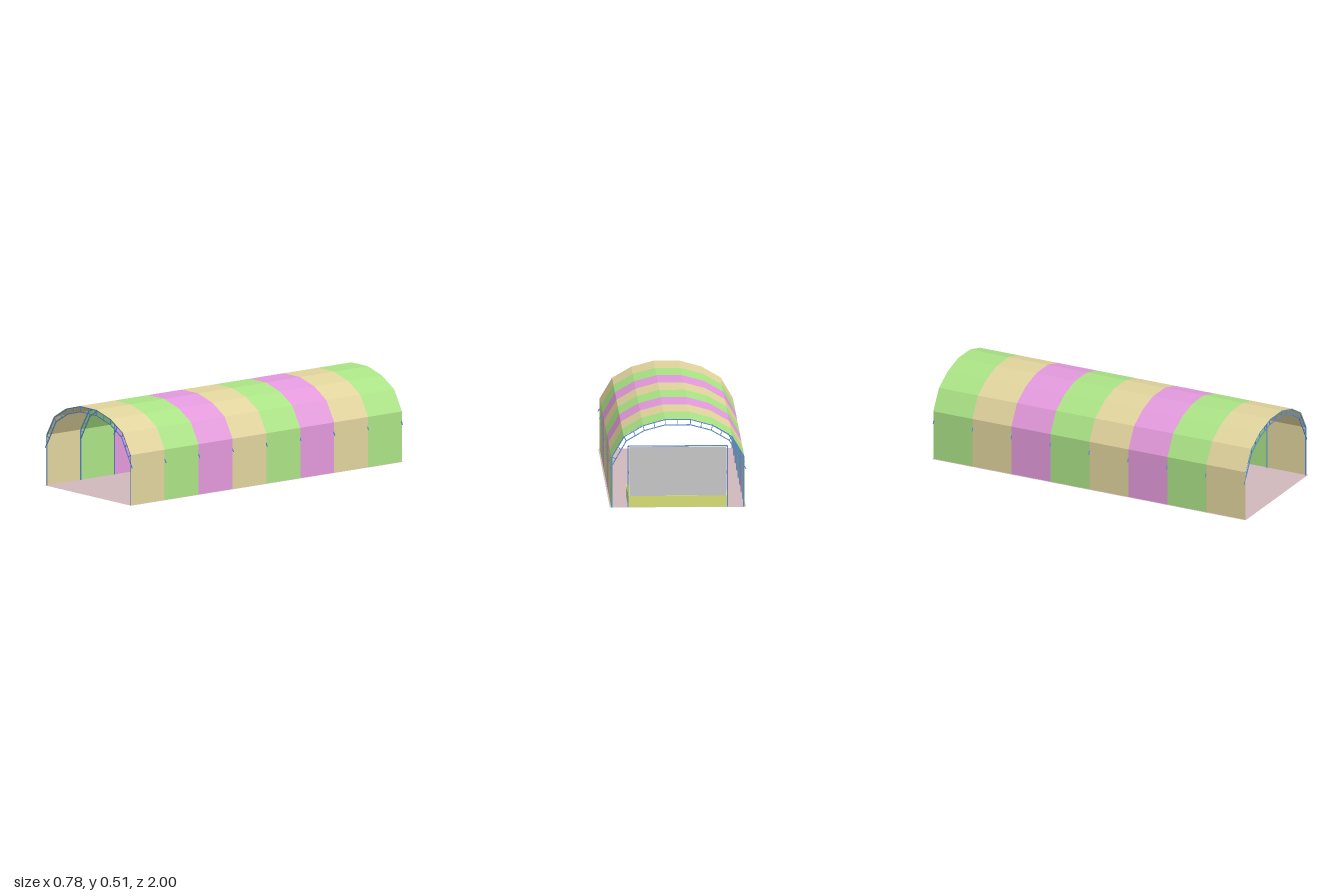
import * as THREE from 'three';

const mat = (color, side = THREE.FrontSide) =>
  new THREE.MeshStandardMaterial({ color, side, flatShading: true });
const STEEL = mat(0x5a90d0);
const YELLOW = mat(0xdce475);
const GREY = mat(0xcccccc);
const STRIPES = [0xe0d39c, 0xaae285, 0xe299db].map((c) => mat(c, THREE.DoubleSide));

function add(parent, name, geometry, material, x = 0, y = 0, z = 0) {
  const mesh = new THREE.Mesh(geometry, material);
  mesh.name = name;
  mesh.position.set(x, y, z);
  parent.add(mesh);
  return mesh;
}

// Square bar between two points of an XY plane
function bar(parent, name, [x0, y0], [x1, y1], t = 0.005, z = 0) {
  const length = Math.hypot(x1 - x0, y1 - y0);
  const mesh = add(parent, name, new THREE.BoxGeometry(t, length, t), STEEL, (x0 + x1) / 2, (y0 + y1) / 2, z);
  mesh.rotation.z = -Math.atan2(x1 - x0, y1 - y0);
  return mesh;
}

// Box given by its limits
function block(parent, name, [x0, x1], [y0, y1], [z0, z1], material) {
  return add(parent, name, new THREE.BoxGeometry(x1 - x0, y1 - y0, z1 - z0), material,
    (x0 + x1) / 2, (y0 + y1) / 2, (z0 + z1) / 2);
}

const mid = (a, b) => [(a[0] + b[0]) / 2, (a[1] + b[1]) / 2];

// One arch: posts, two chords and the struts between them
function makeTruss() {
  const truss = new THREE.Group();
  truss.name = 'archTruss';
  const outer = [[0.373, 0.29], [0.304, 0.405], [0.197, 0.468], [0.072, 0.502]];
  const inner = [[0.351, 0.278], [0.292, 0.381], [0.19, 0.44], [0.071, 0.472]];
  for (const s of [1, -1]) {
    const m = ([x, y]) => [s * x, y];
    bar(truss, 'post', m([0.373, 0]), m(outer[0]));
    bar(truss, 'innerChordTail', m([0.386, 0.217]), m(inner[0]));
    for (let i = 0; i < 4; i++) {
      bar(truss, 'strut', m(outer[i]), m(inner[i]), 0.004);
      if (i === 3) continue;
      bar(truss, 'outerChord', m(outer[i]), m(outer[i + 1]));
      bar(truss, 'innerChord', m(inner[i]), m(inner[i + 1]));
      bar(truss, 'strut', m(mid(outer[i], outer[i + 1])), m(mid(inner[i], inner[i + 1])), 0.004);
    }
  }
  bar(truss, 'outerChord', [-0.072, 0.502], [0.072, 0.502]);
  bar(truss, 'innerChord', [-0.071, 0.472], [0.071, 0.472]);
  bar(truss, 'strut', [0, 0.472], [0, 0.502], 0.004);
  return truss;
}

// Faceted strip of cover between two z positions
function coverGeometry(z0, z1) {
  const half = [[0.377, 0], [0.377, 0.291], [0.307, 0.409], [0.198, 0.472], [0.072, 0.506]];
  const profile = [...half, ...half.map(([x, y]) => [-x, y]).reverse()];
  const pos = [];
  for (let i = 0; i < profile.length - 1; i++) {
    const [a, b] = [profile[i], profile[i + 1]];
    pos.push(...a, z1, ...a, z0, ...b, z0, ...a, z1, ...b, z0, ...b, z1);
  }
  const g = new THREE.BufferGeometry();
  g.setAttribute('position', new THREE.Float32BufferAttribute(pos, 3));
  g.computeVertexNormals();
  return g;
}

export function createModel() {
  const model = new THREE.Group();
  model.name = 'archedTent';

  // Ground sheet
  const floor = add(model, 'floor', new THREE.PlaneGeometry(0.77, 2), mat(0xd0b8bc, THREE.DoubleSide), 0, 0.001, 0);
  floor.rotation.x = -Math.PI / 2;

  // Striped cover, front to back
  const bays = 8, end = 0.995, step = (2 * end) / bays;
  for (let i = 0; i < bays; i++) {
    const z1 = end - i * step;
    add(model, 'coverStripe', coverGeometry(z1 - step, z1), STRIPES[i % 3]);
  }

  // Arches at every stripe boundary
  const truss = makeTruss();
  for (let i = 0; i <= bays; i++) {
    const copy = truss.clone();
    copy.position.z = 0.991 - (i * 1.982) / bays;
    model.add(copy);
  }

  // Stage with two steps at one front corner
  const stage = new THREE.Group();
  stage.name = 'stage';
  block(stage, 'platform', [-0.281, 0.281], [0, 0.064], [-0.99, -0.59], YELLOW);
  block(stage, 'upperStep', [-0.281, -0.148], [0, 0.043], [-0.59, -0.56], YELLOW);
  block(stage, 'lowerStep', [-0.281, -0.148], [0, 0.023], [-0.56, -0.53], YELLOW);
  model.add(stage);

  // Screen hung in a goalpost frame at the back of the stage
  const screen = new THREE.Group();
  screen.name = 'screen';
  const zs = -0.988;
  block(screen, 'panel', [-0.274, 0.274], [0.065, 0.346], [zs - 0.002, zs + 0.002], GREY);
  bar(screen, 'topRail', [-0.282, 0.351], [0.282, 0.351], 0.005, zs);
  for (const s of [1, -1]) {
    bar(screen, 'framePost', [s * 0.281, 0], [s * 0.281, 0.351], 0.005, zs);
    block(screen, 'postClamp', [s * 0.281 - 0.004, s * 0.281 + 0.004], [0.19, 0.208], [zs - 0.004, zs + 0.004], STEEL);
    bar(screen, 'cornerTie', [s * 0.271, 0.343], [s * 0.28, 0.35], 0.002, zs);
  }
  model.add(screen);

  return model;
}
